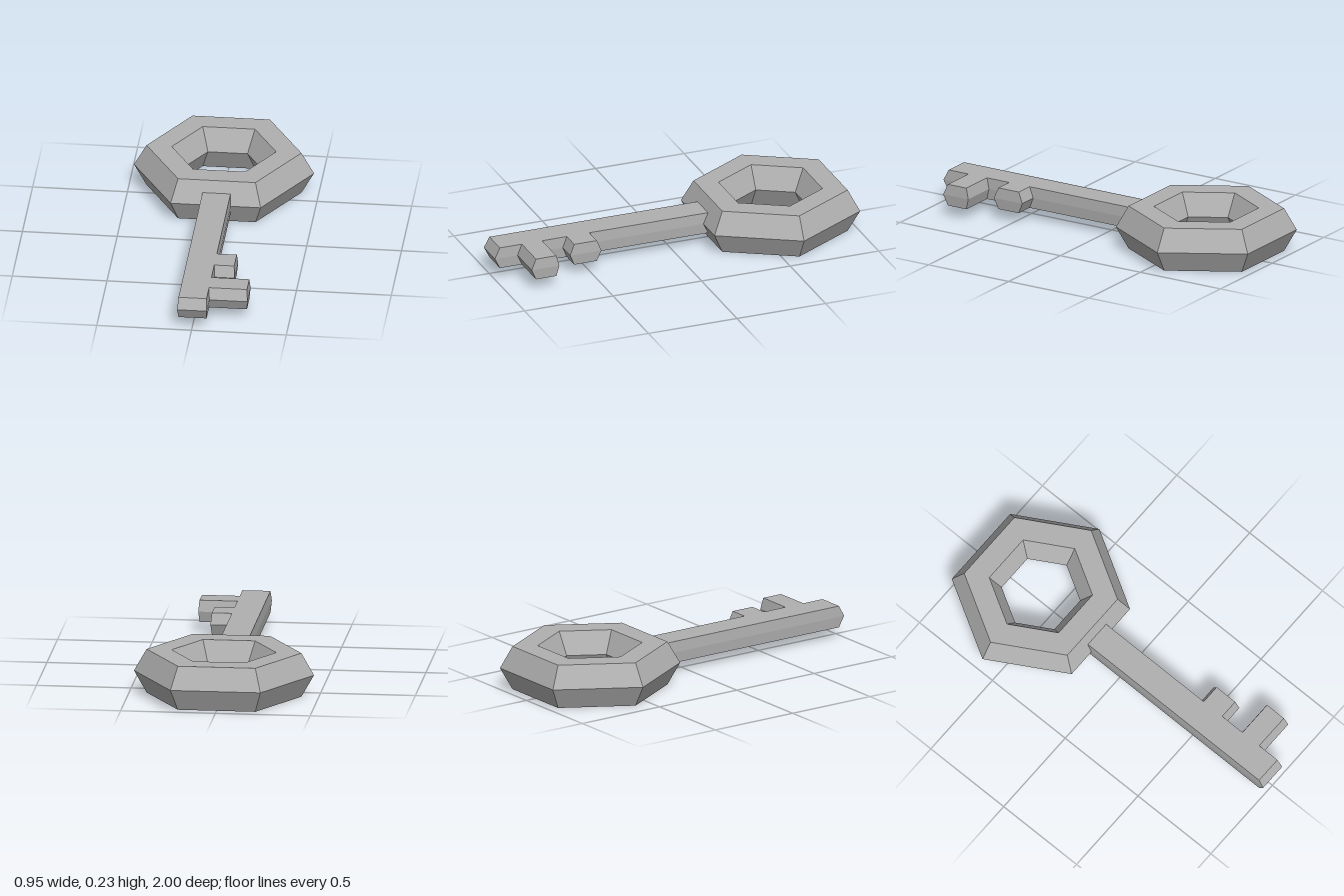
import * as THREE from 'three';

const MID = 0.1175; // height of the central ridge line

// Split vertices so every face is flat
function faceted(geometry) {
  const flat = geometry.toNonIndexed();
  flat.computeVertexNormals();
  return flat;
}

// Bar whose sides bulge to a ridge at mid height; ix, iz and zBack set the bevels
function bar(x0, x1, z0, z1, ix, izBack, izFront) {
  const g = new THREE.BoxGeometry(x1 - x0, 0.117, z1 - z0, 1, 2, 1);
  const p = g.attributes.position;
  for (let i = 0; i < p.count; i++) {
    if (Math.abs(p.getY(i)) < 0.01) continue;
    p.setX(i, p.getX(i) - Math.sign(p.getX(i)) * ix);
    p.setZ(i, p.getZ(i) + (p.getZ(i) > 0 ? -izFront : izBack));
  }
  g.translate((x0 + x1) / 2, MID, (z0 + z1) / 2);
  return faceted(g);
}

export function createModel() {
  const group = new THREE.Group();
  group.name = 'key';
  const metal = new THREE.MeshStandardMaterial({ color: 0xb0b0b0 });
  metal.name = 'grey metal';

  const add = (name, geometry) => {
    const mesh = new THREE.Mesh(geometry, metal);
    mesh.name = name;
    group.add(mesh);
  };

  // Hexagonal ring with a hexagonal section
  const ring = new THREE.TorusGeometry(0.342, 0.133, 6, 6);
  ring.rotateX(-Math.PI / 2);
  ring.scale(1, 1.02, 1);
  ring.translate(0, MID, -0.589);
  add('bow', faceted(ring));

  // Shaft with a pointed front end
  add('shaft', bar(-0.076, 0.08, -0.205, 1, 0.004, 0, 0.03));

  // Two teeth on the left side, rooted inside the shaft
  add('shortTooth', bar(0.03, 0.186, 0.44, 0.617, 0.005, 0.025, 0.025));
  add('longTooth', bar(0.03, 0.281, 0.716, 0.872, 0.005, 0.015, 0.026));

  return group;
}
